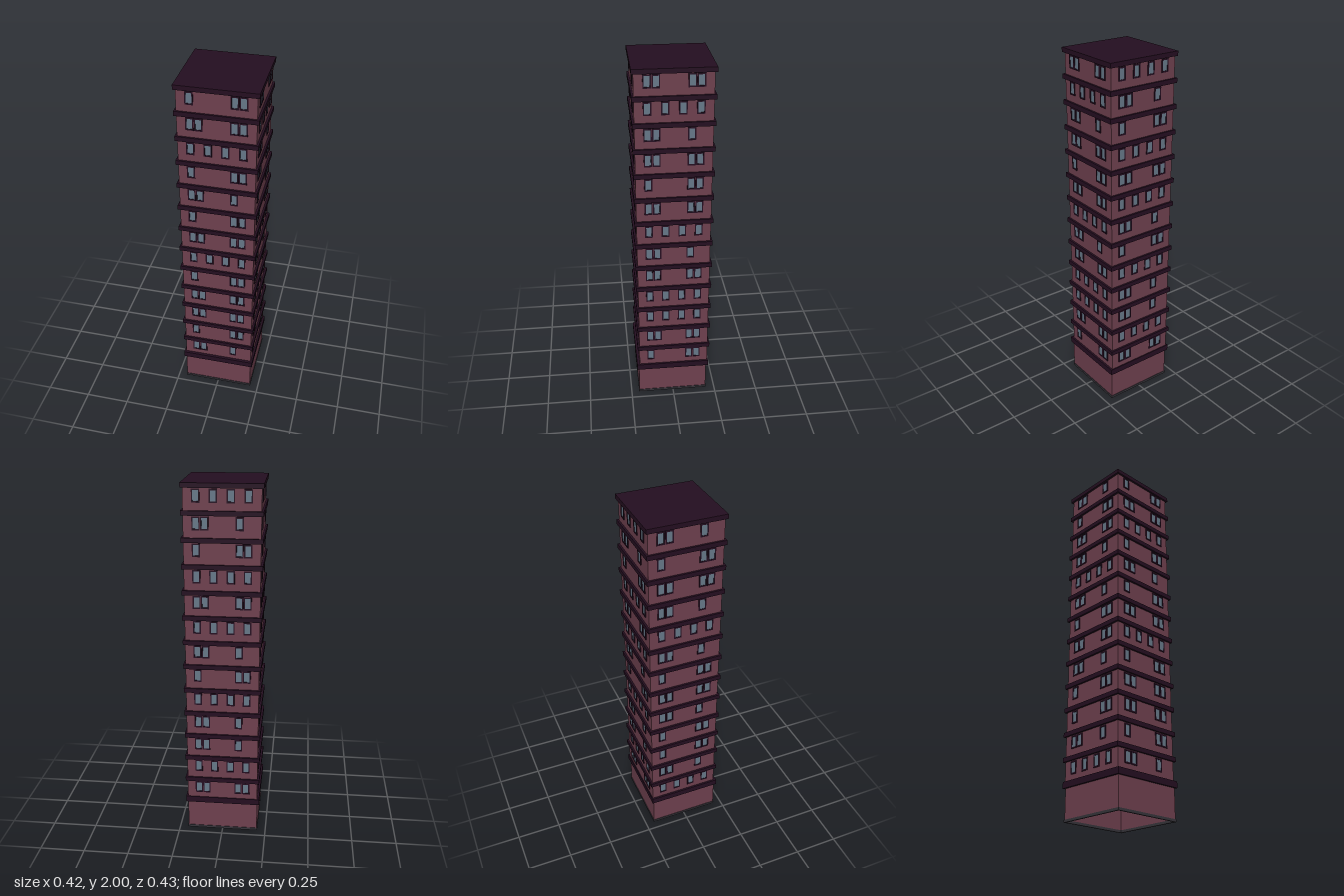
import * as THREE from 'three';

const mat = (color) => new THREE.MeshStandardMaterial({ color });
const brick = mat(0x6e404e);
const dark = mat(0x240e20);
const glass = mat(0x667888);
const trim = mat(0x36343a);

// Window positions along a wall; each storey uses all four, one per side
const PATTERNS = [
  [-0.134, 0.09, 0.134],
  [-0.134, -0.09, 0.09, 0.134],
  [-0.134, -0.045, 0.045, 0.134],
  [-0.134, -0.09, 0.09],
];
// Which pattern faces the front, from the top storey down
const FRONTS = [0, 1, 2, 0, 3, 0, 1, 2, 0, 1, 1, 0, 3];

const HALF = 0.2;
const STOREY = 0.1383;
const TOWER_Z = -0.0025;
const BASE_Z = 0.0025;

function box(name, w, h, d, material, x, y, z) {
  const mesh = new THREE.Mesh(new THREE.BoxGeometry(w, h, d), material);
  mesh.name = name;
  mesh.position.set(x, y, z);
  return mesh;
}

// Square ring of walls standing on y
function wallRing(name, half, thickness, y, height, material) {
  const square = (path, s) =>
    path.moveTo(-s, -s).lineTo(s, -s).lineTo(s, s).lineTo(-s, s).closePath();
  const shape = square(new THREE.Shape(), half);
  shape.holes.push(square(new THREE.Path(), half - thickness));
  const geo = new THREE.ExtrudeGeometry(shape, { depth: height, bevelEnabled: false });
  geo.rotateX(-Math.PI / 2);
  const mesh = new THREE.Mesh(geo, material);
  mesh.name = name;
  mesh.position.set(0, y, BASE_Z);
  return mesh;
}

// Framed window with the pane set back in the frame
const rect = (path, w, h) =>
  path.moveTo(-w / 2, -h / 2).lineTo(w / 2, -h / 2).lineTo(w / 2, h / 2).lineTo(-w / 2, h / 2).closePath();
const frameShape = rect(new THREE.Shape(), 0.042, 0.07);
frameShape.holes.push(rect(new THREE.Path(), 0.029, 0.055));
const frameGeo = new THREE.ExtrudeGeometry(frameShape, { depth: 0.004, bevelEnabled: false });
const paneGeo = new THREE.PlaneGeometry(0.03, 0.056);

function makeWindow(x) {
  const win = new THREE.Group();
  win.name = 'window';
  const frame = new THREE.Mesh(frameGeo, dark);
  frame.name = 'windowFrame';
  const pane = new THREE.Mesh(paneGeo, glass);
  pane.name = 'windowPane';
  pane.position.z = 0.0015;
  win.add(frame, pane);
  win.position.set(x, 0, HALF);
  return win;
}

export function createModel() {
  const model = new THREE.Group();
  model.name = 'towerBlock';

  // Hollow ground storey, open underneath
  model.add(wallRing('groundTrim', 0.203, 0.008, 0, 0.014, trim));
  model.add(wallRing('groundWalls', HALF, 0.004, 0.01, 0.17, brick));
  model.add(box('groundSlab', 0.422, 0.035, 0.421, dark, 0, 0.1925, BASE_Z));

  // Upper storeys, each with its walls, ledge and windows
  FRONTS.forEach((first, i) => {
    const top = 2 - i * STOREY;
    const storey = new THREE.Group();
    storey.name = `storey${FRONTS.length - i}`;
    storey.position.set(0, top, TOWER_Z);
    storey.add(box('walls', HALF * 2, STOREY - 0.01, HALF * 2, brick, 0, -0.005 - STOREY / 2, 0));
    storey.add(box('ledge', 0.422, 0.025, 0.421, dark, 0, -0.0125, 0));
    for (let side = 0; side < 4; side++) {
      const face = new THREE.Group();
      face.name = ['front', 'right', 'back', 'left'][side] + 'Windows';
      face.position.y = -0.064;
      face.rotation.y = (side * Math.PI) / 2;
      PATTERNS[(first + side) % 4].forEach((x) => face.add(makeWindow(x)));
      storey.add(face);
    }
    model.add(storey);
  });

  return model;
}
